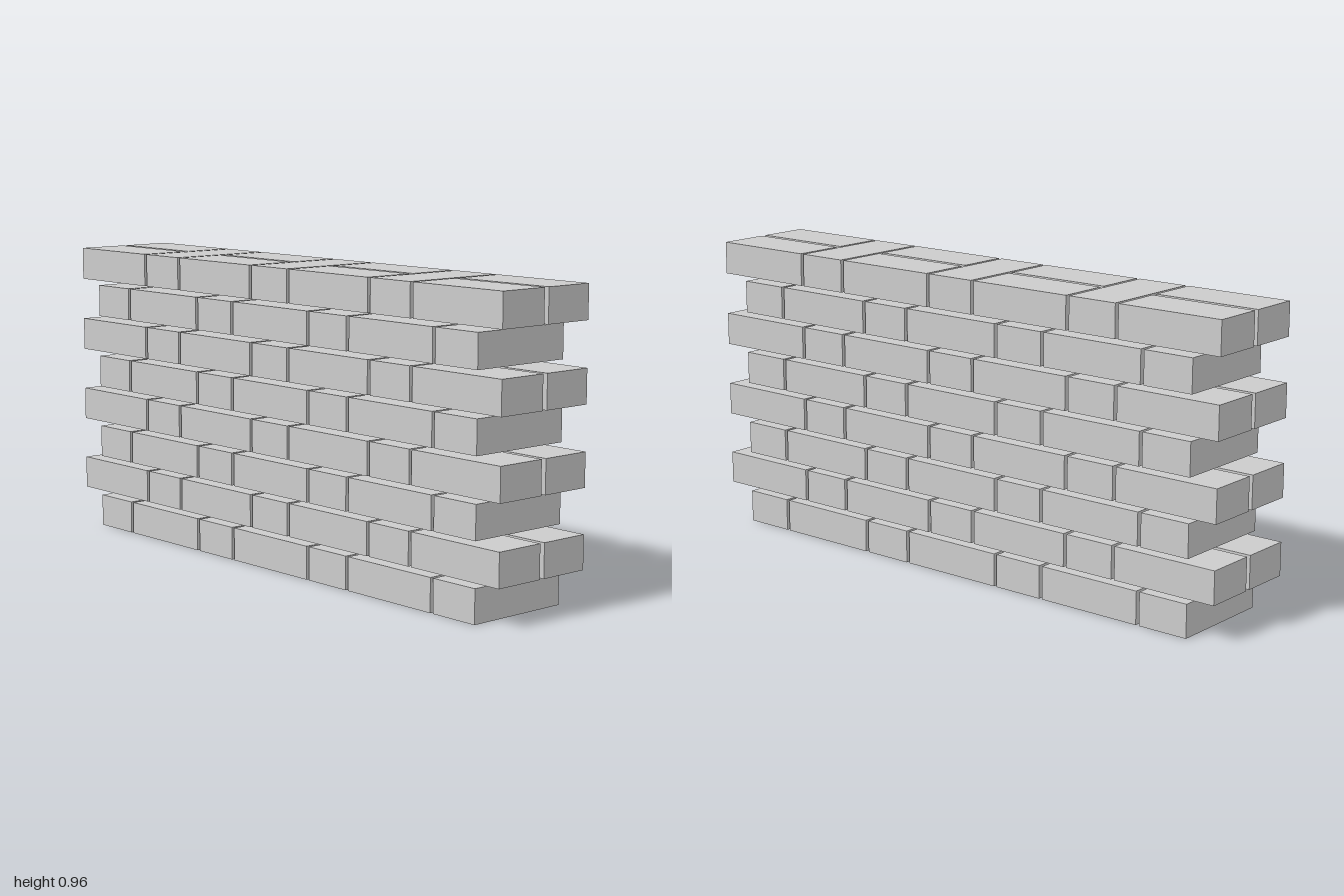
import * as THREE from 'three';

export function createModel() {
  const wall = new THREE.Group();
  wall.name = 'brickWall';
  const material = new THREE.MeshStandardMaterial({ color: 0xcccccc, flatShading: true });

  const courses = 8, rise = 0.1222, height = 0.1065;
  const step = 0.274;                 // centre distance from stretcher to header
  const depth = 0.354, slot = 0.017;  // wall thickness, gap between paired stretchers
  const leaf = (depth - slot) / 2;

  const stretcher = new THREE.BoxGeometry(0.356, height, leaf);
  const header = new THREE.BoxGeometry(0.169, height, depth);

  const addBrick = (parent, name, geometry, x, z) => {
    const brick = new THREE.Mesh(geometry, material);
    brick.name = name;
    brick.position.set(x, 0, z);
    parent.add(brick);
  };

  for (let row = 0; row < courses; row++) {
    const course = new THREE.Group();
    course.name = `course${row + 1}`;
    course.position.y = row * rise + height / 2;
    // Headers and stretchers alternate; odd courses swap their places
    for (let i = -3; i <= 3; i++) {
      if (Math.abs(i + row) % 2 === 1) {
        addBrick(course, 'headerBrick', header, i * step, 0);
      } else {
        for (const side of [1, -1]) {
          addBrick(course, side > 0 ? 'frontStretcherBrick' : 'backStretcherBrick',
            stretcher, i * step, side * (slot + leaf) / 2);
        }
      }
    }
    wall.add(course);
  }
  return wall;
}
